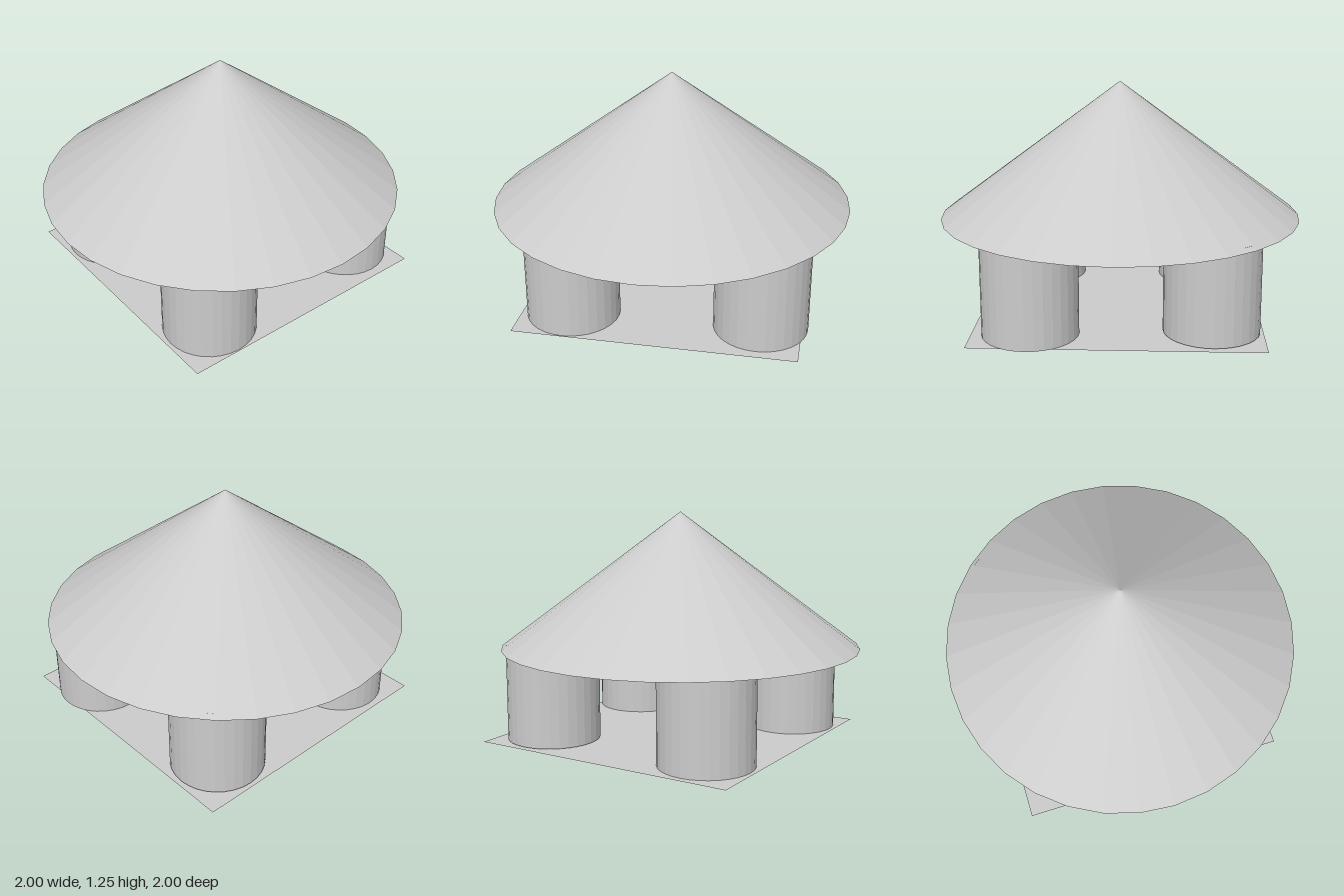
import * as THREE from 'three';

export function createModel() {
  const group = new THREE.Group();
  const grey = new THREE.MeshStandardMaterial({ color: 0xcccccc, flatShading: true });
  const thin = new THREE.MeshStandardMaterial({ color: 0xcccccc, side: THREE.DoubleSide });

  function add(name, geometry, material, x, y, z) {
    const mesh = new THREE.Mesh(geometry, material);
    mesh.name = name;
    mesh.position.set(x, y, z);
    group.add(mesh);
    return mesh;
  }

  // Conical roof with a closed underside
  const roofBase = 0.51, roofHeight = 0.745;
  add('roof', new THREE.ConeGeometry(1, roofHeight, 32), grey, 0, roofBase + roofHeight / 2, 0);

  // Four round pillars, placed slightly unevenly: x, bottom y, z
  const pillarHeight = 0.515;
  const pillarGeometry = new THREE.CylinderGeometry(0.255, 0.255, pillarHeight, 32);
  const pillars = {
    frontLeftPillar: [0.49, 0, 0.455],
    frontRightPillar: [-0.48, 0, 0.455],
    backLeftPillar: [0.445, 0.005, -0.57],
    backRightPillar: [-0.5, 0.015, -0.515],
  };
  for (const [name, [x, y, z]] of Object.entries(pillars)) {
    add(name, pillarGeometry, grey, x, y + pillarHeight / 2, z);
  }

  // Thin square floor
  const floor = new THREE.PlaneGeometry(1.525, 1.525).rotateX(-Math.PI / 2);
  add('floor', floor, thin, -0.01, 0.006, -0.03);

  return group;
}
